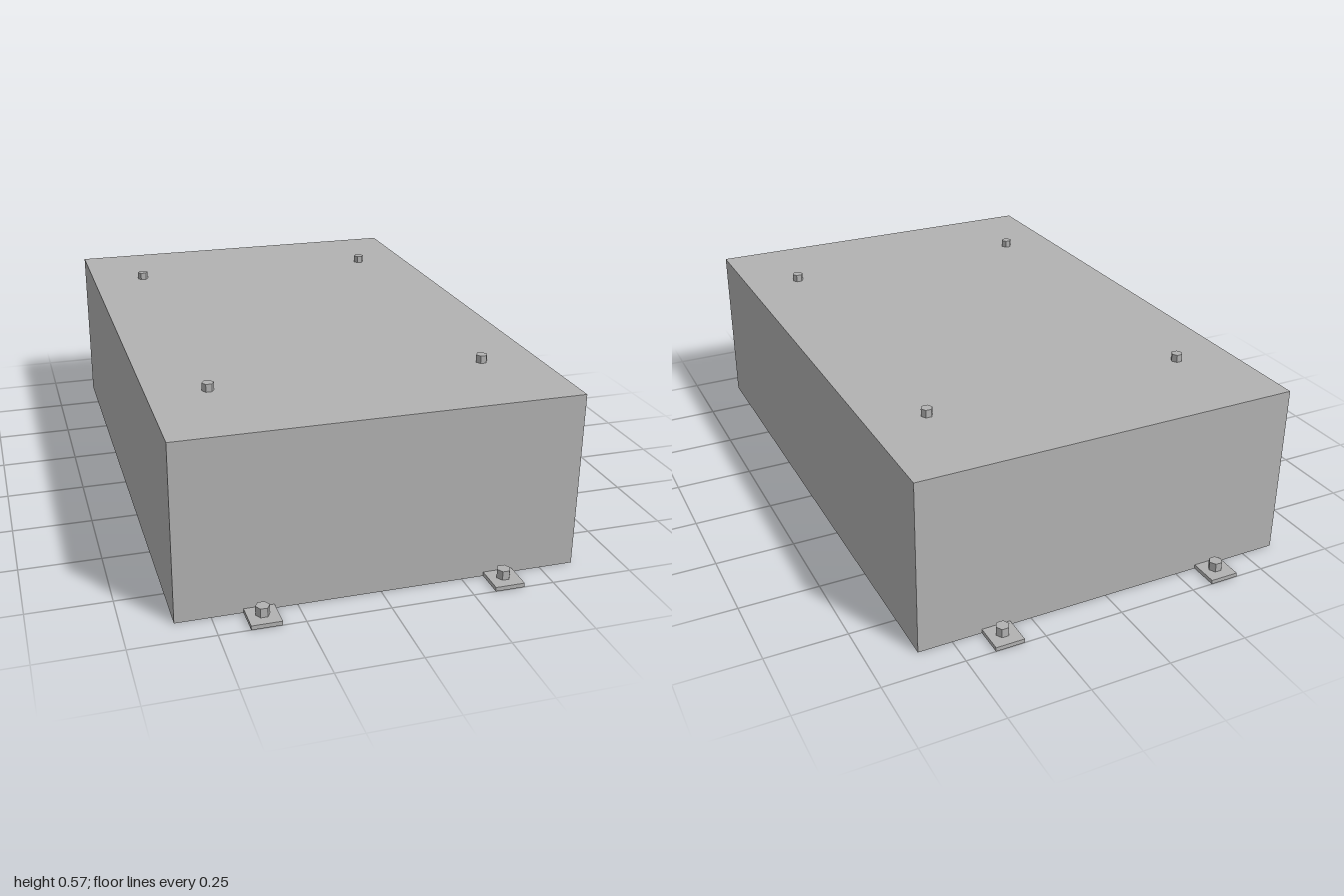
import * as THREE from 'three';

export function createModel() {
  const model = new THREE.Group();
  const grey = new THREE.MeshStandardMaterial({ color: 0xb2b2b2 });
  grey.name = 'light grey';

  function add(name, geometry, x, y, z) {
    const mesh = new THREE.Mesh(geometry, grey);
    mesh.name = name;
    mesh.position.set(x, y, z);
    model.add(mesh);
  }

  // Six-sided head with corners pointing along x, flat-faced
  function hexHead(radius, height) {
    return new THREE.CylinderGeometry(radius, radius, height, 6)
      .rotateY(Math.PI / 6)
      .toNonIndexed();
  }
  function flat(geometry) {
    geometry.computeVertexNormals();
    return geometry;
  }

  const width = 1.21, height = 0.546, depth = 1.82;
  const tabThickness = 0.013, tabLength = 1 - depth / 2;
  const tabGeometry = new THREE.BoxGeometry(0.09, tabThickness, tabLength);
  const boltGeometry = flat(hexHead(0.021, 0.028));
  const screwGeometry = flat(hexHead(0.018, 0.024));

  // Main enclosure
  add('housing', new THREE.BoxGeometry(width, height, depth), 0, height / 2, 0);

  // Mounting tabs with bolts, and lid screws, mirrored to four corners
  for (const sx of [-1, 1]) {
    for (const sz of [-1, 1]) {
      const tabZ = sz * (depth / 2 + tabLength / 2);
      add('mountingTab', tabGeometry, sx * 0.363, tabThickness / 2, tabZ);
      add('mountingBolt', boltGeometry, sx * 0.363, tabThickness + 0.014, sz * 0.95);
      add('lidScrew', screwGeometry, sx * 0.425, height + 0.012, sz * 0.583);
    }
  }
  return model;
}
